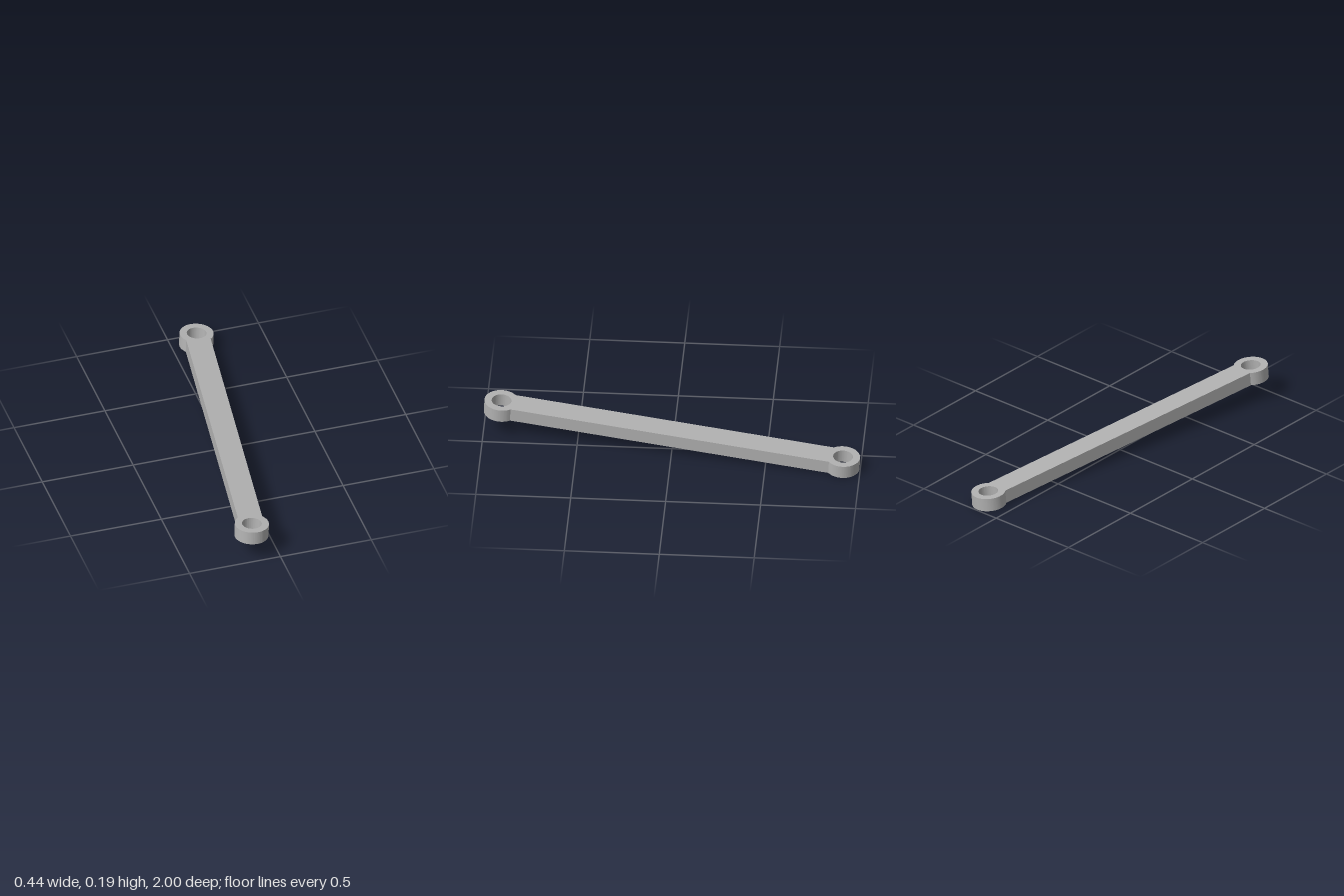
import * as THREE from 'three';
import { toCreasedNormals } from 'three/addons/utils/BufferGeometryUtils.js';

const EYE_RADIUS = 0.09, HOLE_RADIUS = 0.052, HALF_WIDTH = 0.065, THICKNESS = 0.073;

export function createModel() {
  const group = new THREE.Group();
  group.name = 'connectingLink';
  const steel = new THREE.MeshStandardMaterial({ color: 0xb2b2b2 });
  steel.name = 'grey metal';

  // Tilted frame: y runs along the bar, z through its thickness
  const along = new THREE.Vector3(-0.26, 0.1, 1.816);
  const half = along.length() / 2;
  along.normalize();
  const side = along.clone().cross(new THREE.Vector3(0.053, 1, -0.0474)).normalize();
  const normal = side.clone().cross(along);

  // Straight bar with a round eye at each end
  const neck = Math.sqrt(EYE_RADIUS ** 2 - HALF_WIDTH ** 2);
  const a = Math.atan2(neck, HALF_WIDTH);
  const outline = new THREE.Shape();
  outline.absarc(0, half, EYE_RADIUS, -a, Math.PI + a, false);
  outline.absarc(0, -half, EYE_RADIUS, Math.PI - a, 2 * Math.PI + a, false);
  outline.closePath();

  // Pin hole in each eye
  for (const y of [half, -half]) {
    outline.holes.push(new THREE.Path().absarc(0, y, HOLE_RADIUS, 0, 2 * Math.PI, true));
  }

  const extruded = new THREE.ExtrudeGeometry(outline, {
    depth: THICKNESS, bevelEnabled: false, curveSegments: 48,
  });
  extruded.translate(0, 0, -THICKNESS / 2);
  extruded.applyMatrix4(new THREE.Matrix4().makeBasis(side, along, normal));

  const link = new THREE.Mesh(toCreasedNormals(extruded, Math.PI / 6), steel);
  link.name = 'linkBar';

  // Rest the lowest edge on the ground
  link.geometry.computeBoundingBox();
  link.position.y = -link.geometry.boundingBox.min.y;
  group.add(link);
  return group;
}
